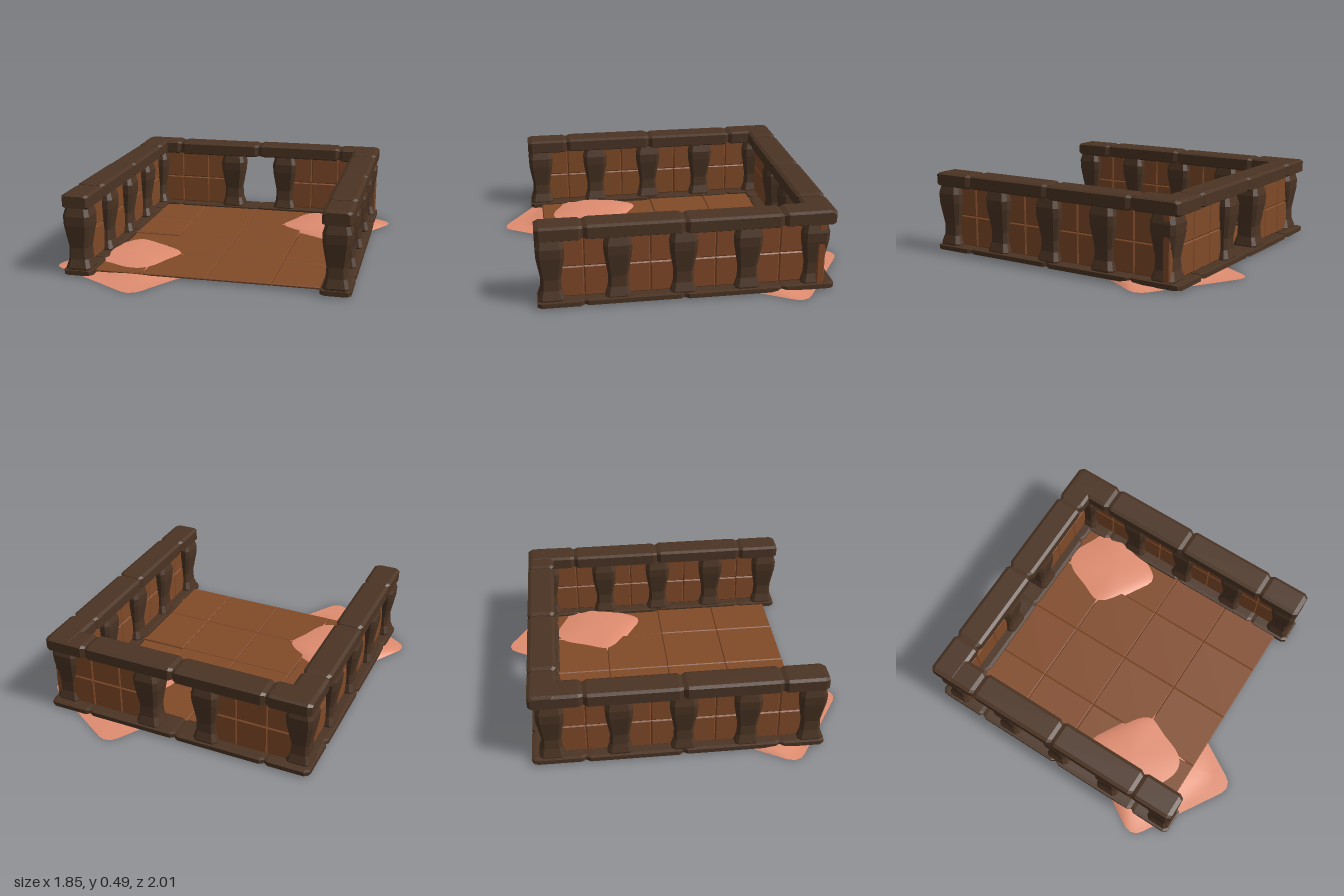
import * as THREE from 'three';

const wood = new THREE.MeshStandardMaterial({ color: 0x4b3424, flatShading: true });
const clay = new THREE.MeshStandardMaterial({ color: 0x814a28, flatShading: true });
const mud = new THREE.MeshStandardMaterial({ color: 0xe08d70, side: THREE.DoubleSide });

// Lofts a chamfered square along y; profile is a list of [half width, y].
function loft(profile, corner = 0.72) {
  const points = profile.map(([r, y]) => new THREE.Vector2(r, y));
  const lathe = new THREE.LatheGeometry(points, 8, Math.PI / 8);
  const p = lathe.attributes.position;
  for (let i = 0; i < p.count; i++) {
    const r = profile[i % profile.length][0];
    const x = p.getX(i), z = p.getZ(i), wide = Math.abs(x) > Math.abs(z);
    p.setX(i, Math.sign(x) * r * (wide ? 1 : corner));
    p.setZ(i, Math.sign(z) * r * (wide ? corner : 1));
  }
  const g = lathe.toNonIndexed();
  g.computeVertexNormals();
  return g;
}

function add(parent, name, geometry, material, x = 0, y = 0, z = 0) {
  const mesh = new THREE.Mesh(geometry, material);
  mesh.name = name;
  mesh.position.set(x, y, z);
  parent.add(mesh);
  return mesh;
}

// Beam with worn ends, running from a to b along x or z.
function beam(parent, name, axis, a, b, across, yMid, width, height) {
  const L = b - a, e = 0.025;
  const g = loft([[0, 0], [0.41, 0], [0.5, e], [0.5, L - e], [0.41, L], [0, L]], 0.76);
  g.scale(width, 1, height);
  g.rotateX(Math.PI / 2);
  if (axis === 'x') g.rotateY(Math.PI / 2);
  g.computeVertexNormals();
  add(parent, name, g, wood, axis === 'x' ? a : across, yMid, axis === 'x' ? across : a);
}

// Slab with its edges bevelled towards both thin faces.
function slab(width, depth, thickness, bevel = 0.006) {
  const shape = new THREE.Shape();
  const w = width / 2 - bevel, d = depth / 2 - bevel;
  shape.moveTo(-w, -d).lineTo(w, -d).lineTo(w, d).lineTo(-w, d).closePath();
  const g = new THREE.ExtrudeGeometry(shape, {
    depth: thickness - 2 * bevel, bevelEnabled: true,
    bevelSize: bevel, bevelThickness: bevel, bevelSegments: 1,
  });
  g.translate(0, 0, bevel - thickness / 2);
  return g;
}

// Thin mound spreading over a rounded square.
function mudGeometry() {
  const corners = [[-0.35, 1.03], [-0.95, 0.66], [-0.59, 0.06], [0.01, 0.43]]
    .map(([x, z]) => new THREE.Vector2(x, z));
  const shape = new THREE.Shape();
  corners.forEach((c, i) => {
    const before = c.clone().lerp(corners[(i + 3) % 4], 0.12);
    const after = c.clone().lerp(corners[(i + 1) % 4], 0.12);
    if (i) shape.lineTo(before.x, before.y); else shape.moveTo(before.x, before.y);
    shape.quadraticCurveTo(c.x, c.y, after.x, after.y);
  });
  shape.closePath();
  const rim = shape.getSpacedPoints(64), rings = 14, n = rim.length;
  const peak = new THREE.Vector2(-0.52, 0.4), positions = [], index = [];
  for (let j = 0; j <= rings; j++) {
    const t = j / rings;
    for (const q of rim) {
      const v = peak.clone().lerp(q, t), r = v.distanceTo(peak);
      const wobble = 1 + 0.1 * Math.sin(4 * Math.atan2(v.y - peak.y, v.x - peak.x));
      const h = Math.max(0.002, 0.047 - 0.017 * (r * wobble / 0.27) ** 2) * (1 - t ** 8);
      positions.push(v.x, h, v.y);
    }
  }
  for (let j = 0; j < rings; j++) for (let i = 0; i < n - 1; i++) {
    const a = j * n + i, b = a + n;
    index.push(a, a + 1, b, a + 1, b + 1, b);
  }
  const g = new THREE.BufferGeometry();
  g.setAttribute('position', new THREE.Float32BufferAttribute(positions, 3));
  g.setIndex(index);
  g.computeVertexNormals();
  // keep the upper side as the front face
  if (g.attributes.normal.getY(n * 5) < 0) {
    g.setIndex(index.slice().reverse());
    g.computeVertexNormals();
  }
  return g;
}

export function createModel() {
  const model = new THREE.Group();
  const group = (name) => {
    const g = new THREE.Group();
    g.name = name;
    model.add(g);
    return g;
  };

  // Floor of four by four tiles, two of them sunken
  const floor = group('floor');
  for (let i = 0; i < 4; i++) for (let j = 0; j < 4; j++) {
    const sunken = (i === 0 && j === 2) || (i === 3 && j === 1);
    const g = slab(0.374, 0.374, 0.016);
    g.rotateX(-Math.PI / 2);
    add(floor, 'floorTile', g, clay, (i - 1.5) * 0.374 + 0.004, sunken ? 0.014 : 0.022, (j - 1.5) * 0.374 + 0.008);
  }

  // Top rails and base rails, split into blocks
  const rails = group('rails');
  const sideCuts = [-0.84, -0.545, 0.01, 0.57, 0.83];
  const backCuts = [-0.815, -0.55, 0.005, 0.565, 0.825];
  for (const [name, y, h, w] of [['topRail', 0.443, 0.084, 0.165], ['baseRail', 0.027, 0.034, 0.172]]) {
    for (let i = 0; i < 4; i++) {
      const dy = (i % 2) * 0.003;
      for (const x of [-0.732, 0.742])
        beam(rails, name, 'z', sideCuts[i], sideCuts[i + 1], x, y - dy, w, h);
      beam(rails, name, 'x', backCuts[i], backCuts[i + 1], -0.766, y + 0.001 - dy, w, h);
    }
  }

  // Balusters pinched at the waist
  const pillars = group('pillars');
  const pillarGeometry = loft([[0, 0.03], [0.07, 0.03], [0.073, 0.05], [0.058, 0.1],
    [0.055, 0.165], [0.077, 0.3], [0.079, 0.355], [0.064, 0.41], [0, 0.41]]);
  for (const z of [0.75, 0.38, 0.015, -0.35, -0.735])
    for (const x of [-0.732, 0.742]) add(pillars, 'pillar', pillarGeometry, wood, x, 0, z);
  for (const x of [-0.18, 0.185]) add(pillars, 'pillar', pillarGeometry, wood, x, 0, -0.766);

  // Wall panels in two rows of tiles, with a doorway in the middle of the back
  const walls = group('wallPanels');
  const step = 0.184, wallTile = slab(step, 0.182, 0.044, 0.007);
  for (const y of [0.134, 0.316]) {
    for (let k = 0; k < 8; k++) for (const x of [-0.732, 0.742])
      add(walls, 'sidePanelTile', wallTile, clay, x, y, 0.75 - (k + 0.5) * step).rotation.y = Math.PI / 2;
    for (let k = 0; k < 3; k++) for (const s of [-1, 1])
      add(walls, 'backPanelTile', wallTile, clay, 0.005 + s * (0.184 + (k + 0.5) * step), y, -0.766);
    add(walls, 'cornerPanelTile', slab(0.08, 0.182, 0.044), clay, 0.777, y, -0.766);
  }

  // Mud spills at opposite corners
  const spills = group('mudSpills');
  const spill = mudGeometry();
  add(spills, 'mudSpill', spill, mud);
  add(spills, 'mudSpill', spill, mud).rotation.y = Math.PI;

  return model;
}
